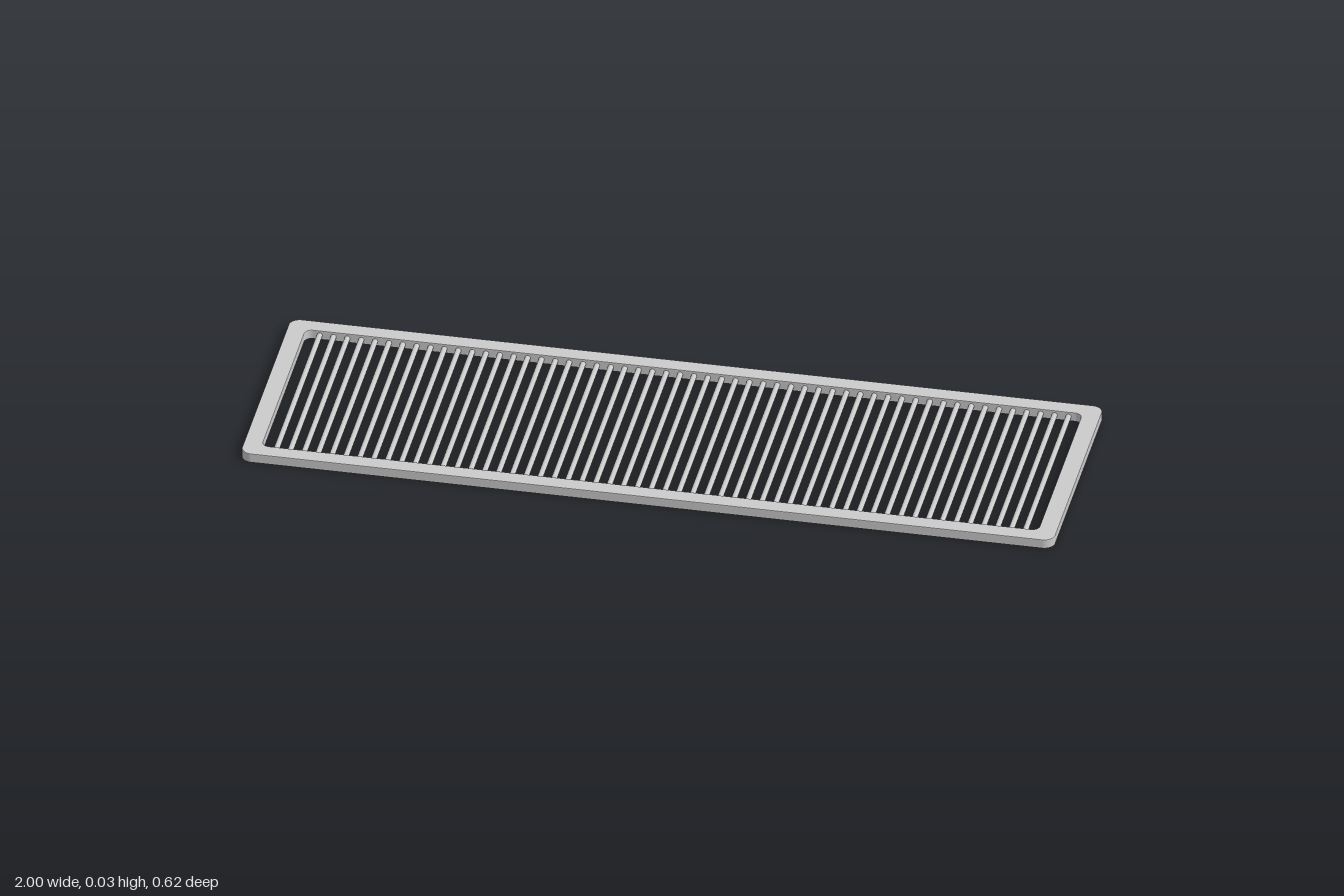
import * as THREE from 'three';

const HEIGHT = 0.025;
const BEVEL = 0.002;
const INNER_X = 0.955, INNER_Z = 0.267;

// Rounded rectangle outline centred on the origin
function roundedRect(path, hx, hy, r) {
  path.moveTo(hx, -hy + r);
  path.absarc(hx - r, hy - r, r, 0, Math.PI / 2);
  path.absarc(-hx + r, hy - r, r, Math.PI / 2, Math.PI);
  path.absarc(-hx + r, -hy + r, r, Math.PI, Math.PI * 1.5);
  path.absarc(hx - r, -hy + r, r, Math.PI * 1.5, Math.PI * 2);
  return path;
}

export function createModel() {
  const model = new THREE.Group();
  model.name = 'ventGrille';
  const material = new THREE.MeshStandardMaterial({ color: 0xcccccc });

  // Flat border with a rounded opening and softened edges
  const outline = roundedRect(new THREE.Shape(), 1, 0.309, 0.027);
  outline.holes.push(roundedRect(new THREE.Path(), INNER_X, INNER_Z, 0.018));
  const frameGeometry = new THREE.ExtrudeGeometry(outline, {
    depth: HEIGHT - 2 * BEVEL, curveSegments: 8,
    bevelThickness: BEVEL, bevelSize: BEVEL, bevelOffset: -BEVEL, bevelSegments: 2,
  });
  frameGeometry.rotateX(-Math.PI / 2).translate(0, BEVEL, 0);
  const frame = new THREE.Mesh(frameGeometry, material);
  frame.name = 'frame';
  model.add(frame);

  // Evenly spaced thin round bars, recessed between the top and bottom faces
  const bars = new THREE.Group();
  bars.name = 'bars';
  const count = 55;
  const pitch = (2 * INNER_X) / (count + 1);
  const barGeometry = new THREE.CylinderGeometry(0.007, 0.007, 2 * INNER_Z + 0.02, 12);
  barGeometry.rotateX(Math.PI / 2);
  for (let i = 1; i <= count; i++) {
    const bar = new THREE.Mesh(barGeometry, material);
    bar.name = 'bar';
    bar.position.set(-INNER_X + i * pitch, HEIGHT / 2, 0);
    bars.add(bar);
  }
  model.add(bars);
  return model;
}
